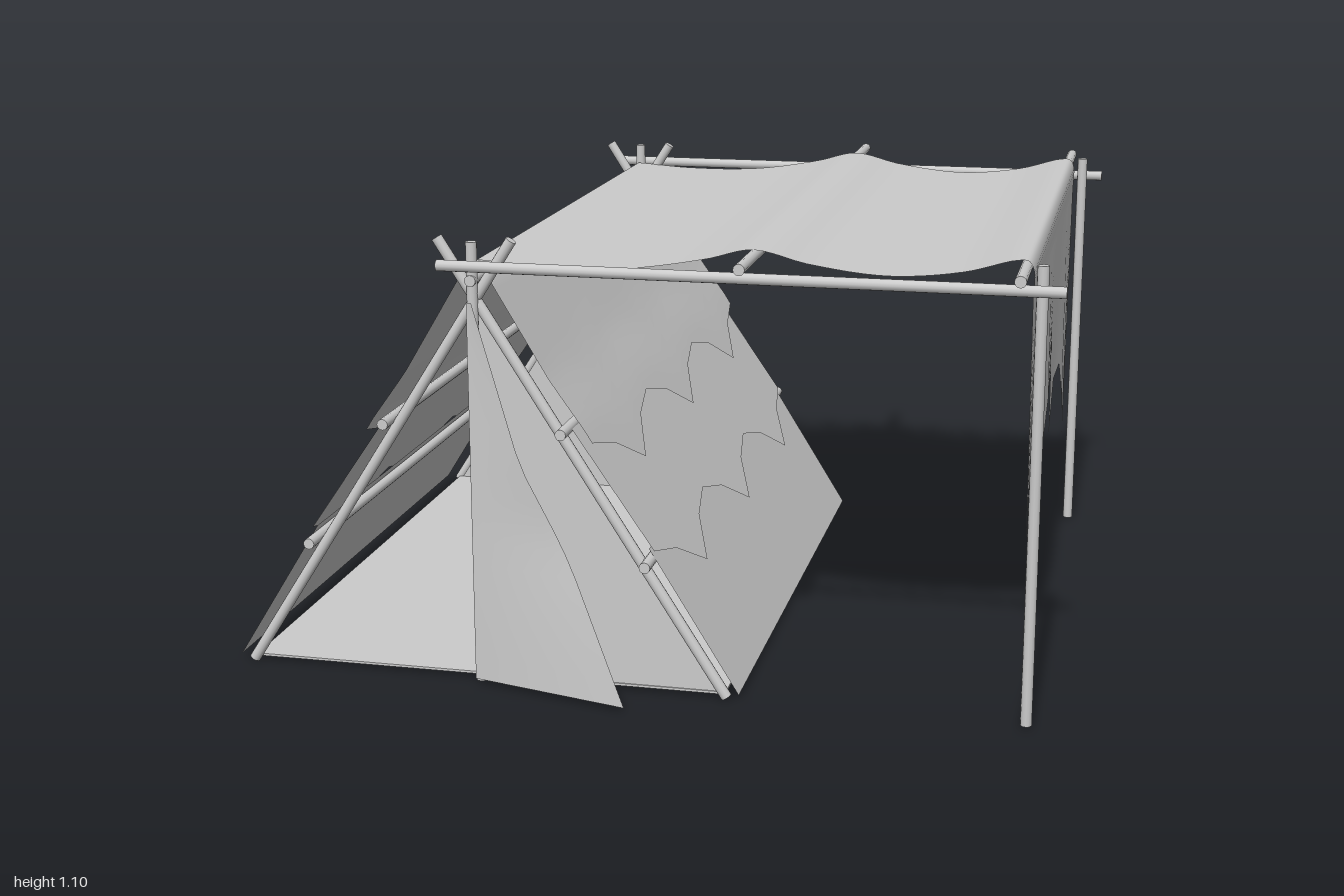
import * as THREE from 'three';

const mat = new THREE.MeshStandardMaterial({ color: 0xcccccc });
const cloth = new THREE.MeshStandardMaterial({ color: 0xcccccc, side: THREE.DoubleSide });
const CX = -0.365;             // ridge line of the tent
const FRONT = 0.82, BACK = -0.765;

// Piecewise linear lookup in a list of [key, value] pairs with rising keys
function lookup(pairs, k) {
  if (k <= pairs[0][0]) return pairs[0][1];
  for (let i = 1; i < pairs.length; i++) {
    const [a, va] = pairs[i - 1], [b, vb] = pairs[i];
    if (k <= b) return va + (vb - va) * (k - a) / (b - a);
  }
  return pairs[pairs.length - 1][1];
}

// Straight round pole between two points
function pole(name, a, b, r = 0.0135) {
  const p = new THREE.Vector3(...a), q = new THREE.Vector3(...b);
  const dir = q.clone().sub(p);
  const m = new THREE.Mesh(new THREE.CylinderGeometry(r, r, dir.length(), 12), mat);
  m.position.copy(p).add(q).multiplyScalar(0.5);
  m.quaternion.setFromUnitVectors(new THREE.Vector3(0, 1, 0), dir.normalize());
  m.name = name;
  return m;
}

// Cloth surface: a grid whose points are placed by fn(u, v), both 0..1
function sheet(name, nu, nv, fn) {
  const g = new THREE.PlaneGeometry(1, 1, nu, nv);
  const pos = g.attributes.position;
  for (let i = 0; i < pos.count; i++) {
    pos.setXYZ(i, ...fn((i % (nu + 1)) / nu, Math.floor(i / (nu + 1)) / nv));
  }
  g.computeVertexNormals();
  const m = new THREE.Mesh(g, cloth);
  m.name = name;
  return m;
}

// Flat vertical panel from outline points
function panel(name, pts, z) {
  const s = new THREE.Shape(pts.map(p => new THREE.Vector2(...p)));
  const m = new THREE.Mesh(new THREE.ShapeGeometry(s), cloth);
  m.position.z = z;
  m.name = name;
  return m;
}

export function createModel() {
  const model = new THREE.Group();
  model.name = 'tentWithAwning';

  // Pole frame at each end: crossed legs, posts and awning beam
  const ends = [
    { n: 'front', leg: 0.822, post: 0.833, beam: 0.862 },
    { n: 'back', leg: -0.765, post: -0.782, beam: -0.815 },
  ];
  for (const e of ends) {
    model.add(
      pole(e.n + 'LegA', [-0.96, 0.014, e.leg], [-0.272, 1.095, e.leg]),
      pole(e.n + 'LegB', [0.238, 0.014, e.leg], [-0.452, 1.095, e.leg]),
      pole(e.n + 'RidgePost', [CX, 0.012, e.post], [CX, 1.09, e.post]),
      pole(e.n + 'AwningPost', [0.945, 0.012, e.post], [0.945, 1.09, e.post]),
      pole(e.n + 'AwningBeam', [-0.44, 1.037, e.beam], [1, 1.037, e.beam]),
    );
  }

  // Poles running front to back
  model.add(pole('ridgePole', [CX, 1.0, -0.8], [CX, 1.0, 0.85]));
  for (const x of [0.29, 0.905]) {
    model.add(pole('awningCrossPole', [x, 1.075, -0.965], [x, 1.075, 0.955]));
  }
  for (const s of [-1, 1]) {
    for (const [d, y] of [[0.218, 0.65], [0.417, 0.34]]) {
      model.add(pole('sidePole', [CX + s * d, y, -0.82], [CX + s * d, y, 0.875]));
    }
  }

  // Tent sides: three overlapping cloths, the upper two with scalloped hems
  const scallop = z => 0.105 * Math.abs(Math.sin(Math.PI * (z - 0.03) / 0.53));
  const layers = [
    { n: 'upperSideCloth', top: 1.04, hem: 0.515, scallop: 1,
      out: [[0.515, 0.345], [0.65, 0.261], [0.765, 0.178], [0.97, 0.055], [1.02, 0.025], [1.04, 0]] },
    { n: 'middleSideCloth', top: 0.66, hem: 0.26, scallop: 1,
      out: [[0.26, 0.5], [0.34, 0.445], [0.66, 0.225]] },
    { n: 'lowerSideCloth', top: 0.37, hem: 0.02, scallop: 0,
      out: [[0.02, 0.632], [0.37, 0.415]] },
  ];
  for (const s of [-1, 1]) {
    for (const l of layers) {
      model.add(sheet(l.n, 12, 14, (u, v) => {
        const z = THREE.MathUtils.lerp(FRONT, BACK, u);
        const hem = l.hem + l.scallop * scallop(z);
        const y = THREE.MathUtils.lerp(l.top, hem, v);
        return [CX + s * lookup(l.out, y), y, z];
      }));
    }
  }

  // Groundsheet
  const floor = new THREE.Mesh(new THREE.BoxGeometry(1.19, 0.006, FRONT - BACK - 0.01), mat);
  floor.position.set(-0.361, 0.02, (FRONT + BACK) / 2);
  floor.name = 'groundsheet';
  model.add(floor);

  // Closed back wall and the fixed half of the front wall
  model.add(
    panel('backWall', [[-0.955, 0.02], [0.235, 0.02], [CX, 0.955]], -0.755),
    panel('frontWall', [[CX, 0.02], [0.235, 0.02], [CX, 0.955]], 0.812),
  );

  // Door flap folded open, swinging outward towards the ground
  const edgeX = [[0.02, 0.02], [0.34, -0.12], [0.57, -0.245], [0.95, -0.36]];
  const edgeZ = [[0.02, 0.955], [0.4, 0.885], [0.95, 0.86]];
  model.add(sheet('doorFlap', 8, 16, (u, v) => {
    const y = 0.95 - 0.93 * v;
    return [
      THREE.MathUtils.lerp(-0.375, lookup(edgeX, y), u), y,
      THREE.MathUtils.lerp(0.852, lookup(edgeZ, y), u),
    ];
  }));

  // Awning roof: sags between the cross poles
  const roofCurve = new THREE.CatmullRomCurve3([
    [CX, 1.04], [-0.2, 1.03], [0, 1.035], [0.18, 1.064], [0.29, 1.09], [0.42, 1.062],
    [0.6, 1.043], [0.77, 1.06], [0.88, 1.09], [0.91, 1.09], [0.922, 1.07], [0.922, 1.0],
  ].map(([x, y]) => new THREE.Vector3(x, y, 0)));
  model.add(sheet('awningRoof', 8, 60, (u, v) => {
    const p = roofCurve.getPoint(v);
    return [p.x, p.y, THREE.MathUtils.lerp(0.793, -0.757, u)];
  }));

  // Torn curtain hanging from the awning's outer edge
  const tear = [
    [-0.757, 0.23], [-0.63, 0.335], [-0.5, 0.445], [-0.37, 0.58], [-0.24, 0.57], [-0.11, 0.445],
    [0.02, 0.655], [0.16, 0.615], [0.29, 0.52], [0.42, 0.585], [0.56, 0.555], [0.69, 0.53], [0.793, 0.43],
  ];
  model.add(sheet('tornCurtain', tear.length - 1, 8, (u, v) => {
    const [z, hem] = tear[Math.round((1 - u) * (tear.length - 1))];
    return [0.922 + 0.006 * v * Math.sin(z * 9), THREE.MathUtils.lerp(1.0, hem, v), z];
  }));

  return model;
}
